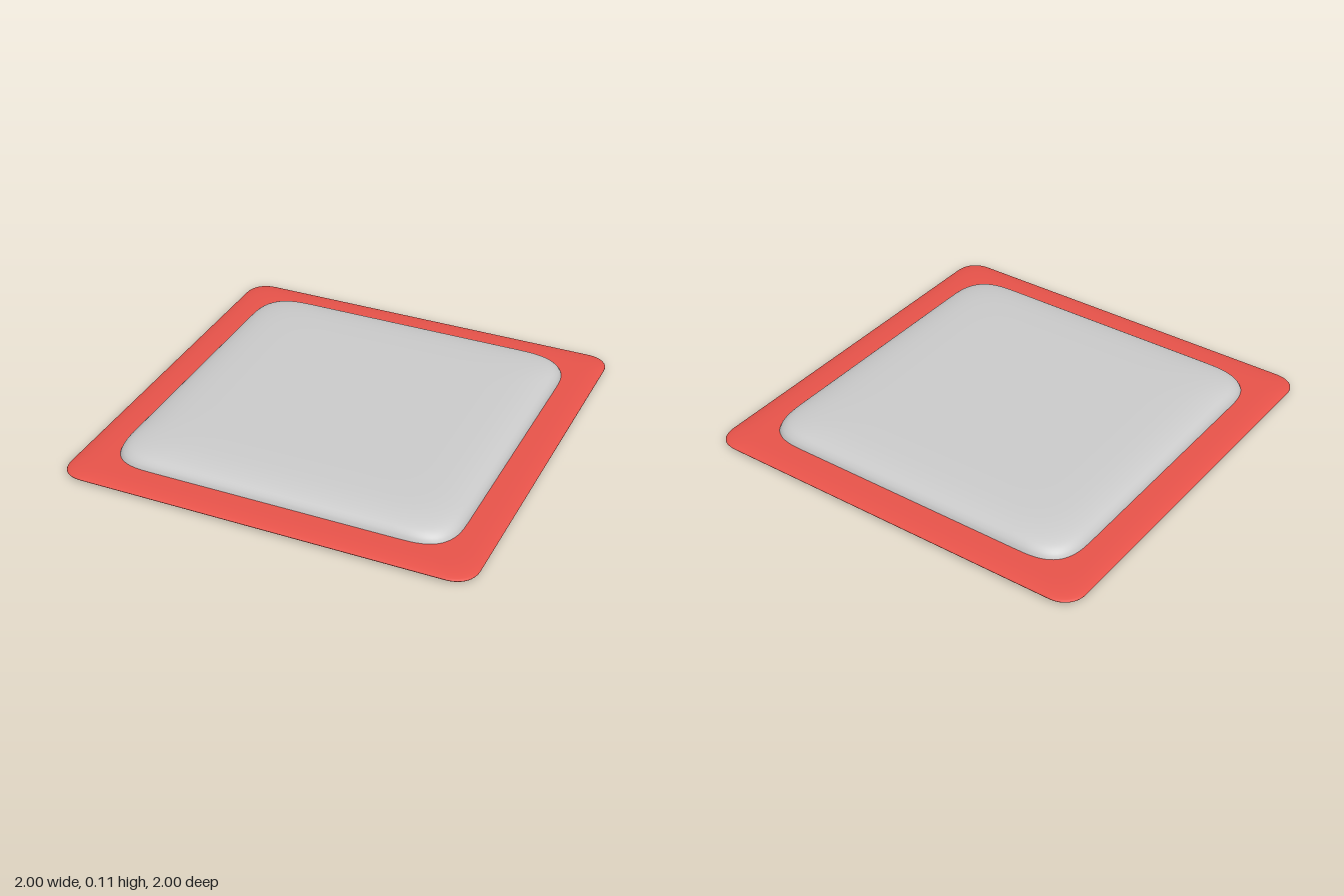
import * as THREE from 'three';

const CORNER_STEPS = 14;

// Outline of a square with soft corners, walked from +x towards +z
function softSquare(half, radius, power) {
  const r = Math.min(radius, half);
  const points = [];
  for (let q = 0; q < 4; q++) {
    for (let i = 0; i <= CORNER_STEPS; i++) {
      const t = (i / CORNER_STEPS) * Math.PI / 2;
      const u = half - r + r * Math.pow(Math.max(0, Math.cos(t)), 2 / power);
      const v = half - r + r * Math.pow(Math.max(0, Math.sin(t)), 2 / power);
      points.push([[u, v], [-v, u], [-u, -v], [v, -u]][q]);
    }
  }
  return points;
}

// Skin through stacked soft squares; profile is [half width, height] from bottom to top
function softSlab(name, profile, radius, power, color) {
  const positions = [];
  const index = [];
  const n = 4 * (CORNER_STEPS + 1);
  profile.forEach(([half, y], i) => {
    for (const [x, z] of softSquare(half, radius, power)) positions.push(x, y, z);
    if (i === 0) return;
    for (let j = 0; j < n; j++) {
      const a = (i - 1) * n + j;
      const b = (i - 1) * n + (j + 1) % n;
      index.push(a, a + n, b, b, a + n, b + n);
    }
  });
  const geometry = new THREE.BufferGeometry();
  geometry.setAttribute('position', new THREE.Float32BufferAttribute(positions, 3));
  geometry.setIndex(index);
  geometry.computeVertexNormals();
  const mesh = new THREE.Mesh(geometry, new THREE.MeshStandardMaterial({ color }));
  mesh.name = name;
  return mesh;
}

export function createModel() {
  const group = new THREE.Group();
  group.name = 'cushionedTile';

  // Thin base plate with a rounded rim
  const plate = [[0, 0], [0.6, 0]];
  for (let i = 0; i <= 16; i++) {
    const a = (i / 16 - 0.5) * Math.PI;
    plate.push([0.88 + 0.12 * Math.pow(Math.max(0, Math.cos(a)), 0.9), 0.0175 + 0.0175 * Math.sin(a)]);
  }
  plate.push([0.6, 0.035], [0, 0.035]);
  group.add(softSlab('basePlate', plate, 0.12, 2.3, 0xe8534a));

  // Softly domed pad, sunk slightly into the plate
  const curve = new THREE.SplineCurve([
    [0.842, 0.02], [0.839, 0.037], [0.828, 0.06], [0.803, 0.081], [0.755, 0.096],
    [0.68, 0.106], [0.56, 0.111], [0.4, 0.112],
  ].map(([x, y]) => new THREE.Vector2(x, y)));
  const pad = [[0, 0.02], ...curve.getPoints(35).map((p) => [p.x, p.y]), [0, 0.112]];
  group.add(softSlab('pad', pad, 0.24, 3, 0xcccccc));

  return group;
}
